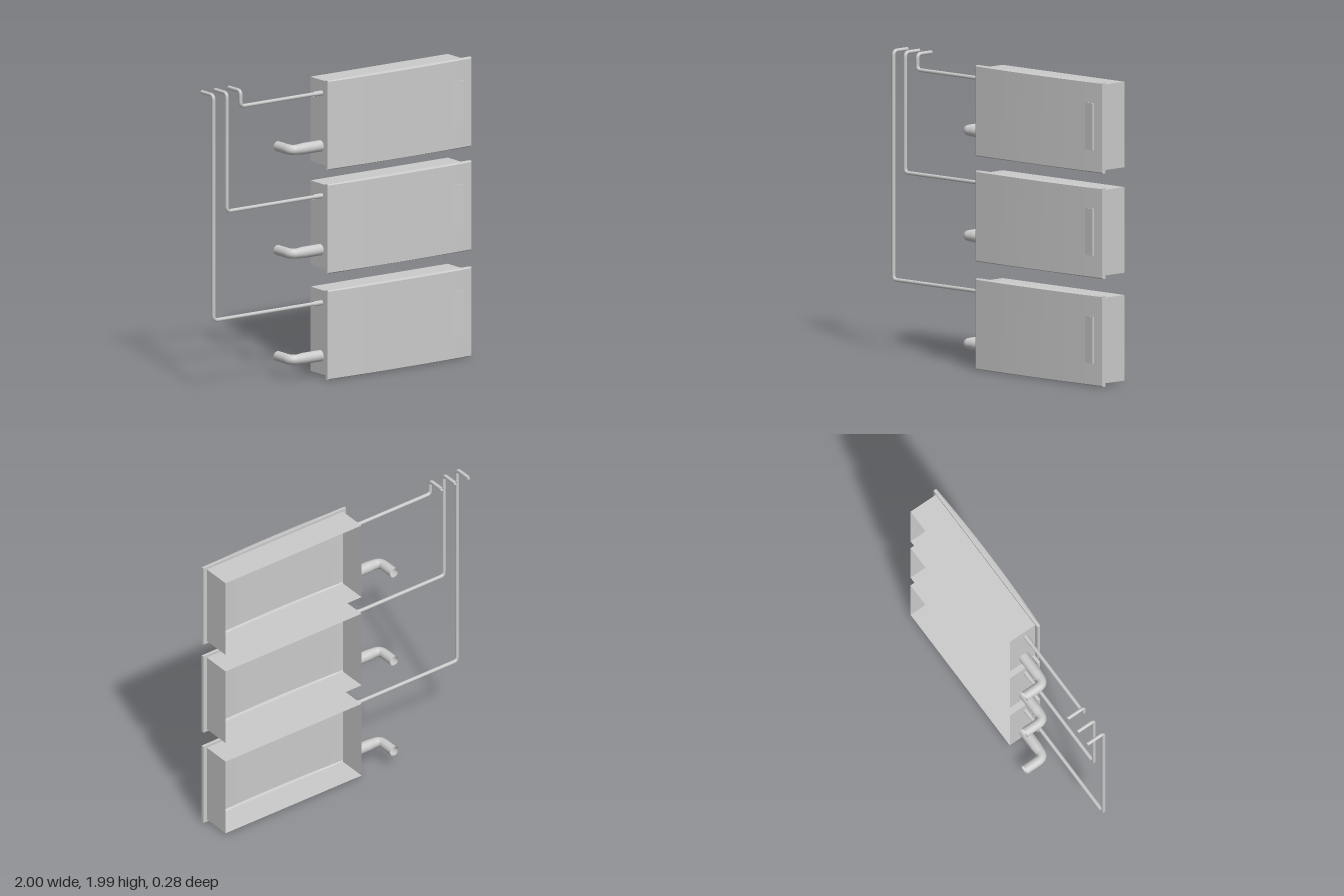
import * as THREE from 'three';
import { toCreasedNormals } from 'three/addons/utils/BufferGeometryUtils.js';

const grey = new THREE.MeshStandardMaterial({ color: 0xcccccc, side: THREE.DoubleSide });
const V = (x, y, z) => new THREE.Vector3(x, y, z);

// Outer size of one cistern, relative to its own base
const X0 = -0.15, X1 = 1, H = 0.59, BACK = -0.1, FLANGE = 0.1, RIM = 0.12, INSET = 0.007;
const BOW = 24;

// Slight outward bow of the front cover
const bow = (x) => {
  const t = (x - 0.425) / 0.575;
  return 0.124 + 0.015 * (1 - t * t);
};

function add(parent, name, geometry) {
  const mesh = new THREE.Mesh(geometry, grey);
  mesh.name = name;
  parent.add(mesh);
  return mesh;
}

// Skin a list of equal-length rows of points
function loft(rows, closed = false) {
  const n = rows[0].length, index = [];
  const cols = closed ? n : n - 1;
  for (let k = 0; k < rows.length - 1; k++) {
    for (let i = 0; i < cols; i++) {
      const j = (i + 1) % n;
      const a = k * n + i, b = k * n + j, c = a + n, d = b + n;
      index.push(a, b, d, a, d, c);
    }
  }
  const g = new THREE.BufferGeometry().setFromPoints(rows.flat());
  g.setIndex(index);
  return toCreasedNormals(g, 0.5);
}

// Rectangle of points, subdivided along x so it can follow the bow
function ring(insetX, insetY, z) {
  const xa = X0 + insetX, xb = X1 - insetX, pts = [];
  const at = (x, y) => V(x, y, z === undefined ? bow(x) : z);
  for (let i = 0; i <= BOW; i++) pts.push(at(xa + (xb - xa) * i / BOW, insetY));
  for (let i = BOW; i >= 0; i--) pts.push(at(xa + (xb - xa) * i / BOW, H - insetY));
  return pts;
}

// Piece of the bowed cover
function coverPatch(xa, xb, ya, yb) {
  const n = Math.max(3, Math.ceil((xb - xa) / 0.045));
  return loft([ya, yb].map((y) => Array.from({ length: n + 1 }, (_, i) => {
    const x = xa + (xb - xa) * i / n;
    return V(x, y, bow(x));
  })));
}

// Round pipe through corner points with rounded bends
function pipe(points, radius, bend, segments, sides) {
  const path = new THREE.CurvePath();
  let from = points[0];
  for (let i = 1; i < points.length - 1; i++) {
    const p = points[i];
    const a = p.clone().add(points[i - 1].clone().sub(p).setLength(bend));
    const b = p.clone().add(points[i + 1].clone().sub(p).setLength(bend));
    path.add(new THREE.LineCurve3(from, a));
    path.add(new THREE.QuadraticBezierCurve3(a, p, b));
    from = b;
  }
  path.add(new THREE.LineCurve3(from, points[points.length - 1]));
  return new THREE.TubeGeometry(path, segments, radius, sides, false);
}

// Sleeve lying along x
function sleeve(xa, xb, rA, rB, y, z) {
  const g = new THREE.CylinderGeometry(rB, rA, xb - xa, 20, 1, true);
  return g.rotateZ(-Math.PI / 2).translate((xa + xb) / 2, y, z);
}

function createCistern() {
  const tank = new THREE.Group();
  tank.name = 'cistern';

  // Open-backed housing, flange and rim
  const bx = 0.027, by = 0.017;
  add(tank, 'housing', loft([ring(bx, by, BACK), ring(bx, by, FLANGE)], true));
  add(tank, 'coverRim', loft([
    ring(bx, by, FLANGE), ring(0, 0, FLANGE), ring(0, 0, RIM), ring(INSET, INSET),
  ], true));

  // Bowed cover around the handle opening
  const hx0 = 0.845, hx1 = 0.925, hy0 = 0.145, hy1 = 0.45;
  const l = X0 + INSET, r = X1 - INSET, b = INSET, t = H - INSET;
  const cover = new THREE.Group();
  cover.name = 'frontCover';
  tank.add(cover);
  [[l, hx0, b, t], [hx1, r, b, t], [hx0, hx1, b, hy0], [hx0, hx1, hy1, t]]
    .forEach((p) => add(cover, 'coverPanel', coverPatch(...p)));

  // Flush handle, lifted along its outer edge
  const row = (y, lift) => [
    V(hx0, y, bow(hx0)), V(hx1 - 0.002, y, bow(hx1) + lift), V(hx1, y, bow(hx1)),
  ];
  add(tank, 'handle', loft([row(hy0, 0), row(hy0, 0.011), row(hy1, 0.011), row(hy1, 0)]));

  // Drain elbow with its sleeve
  const dy = 0.137, dz = 0.008;
  add(tank, 'drainSleeve', sleeve(-0.26, X0 + bx, 0.037, 0.037, dy, dz));
  add(tank, 'drainTaper', sleeve(-0.32, -0.26, 0.032, 0.037, dy, dz));
  add(tank, 'drainPipe', pipe(
    [V(-0.27, dy, dz), V(-0.351, dy, dz), V(-0.351, dy, -0.146)], 0.033, 0.05, 32, 20));
  return tank;
}

export function createModel() {
  const model = new THREE.Group();
  model.name = 'cisternStack';

  // Base height, supply height and riser position for each cistern
  const levels = [
    { base: 0, supply: 0.49, riser: -0.986 },
    { base: 0.7, supply: 1.195, riser: -0.88 },
    { base: 1.384, supply: 1.873, riser: -0.77 },
  ];
  const z = 0.023, top = 1.974;
  for (const { base, supply, riser } of levels) {
    const tank = createCistern();
    tank.position.y = base;
    model.add(tank);

    // Supply line: out of the side, up, then back
    add(model, 'supplyPipe', pipe([
      V(-0.12, supply, z), V(riser, supply, z), V(riser, top, z), V(riser, top, -0.102),
    ], 0.0125, 0.03, 240, 12));
    add(model, 'supplyCollar', sleeve(-0.19, -0.12, 0.016, 0.016, supply, z));
  }
  return model;
}
